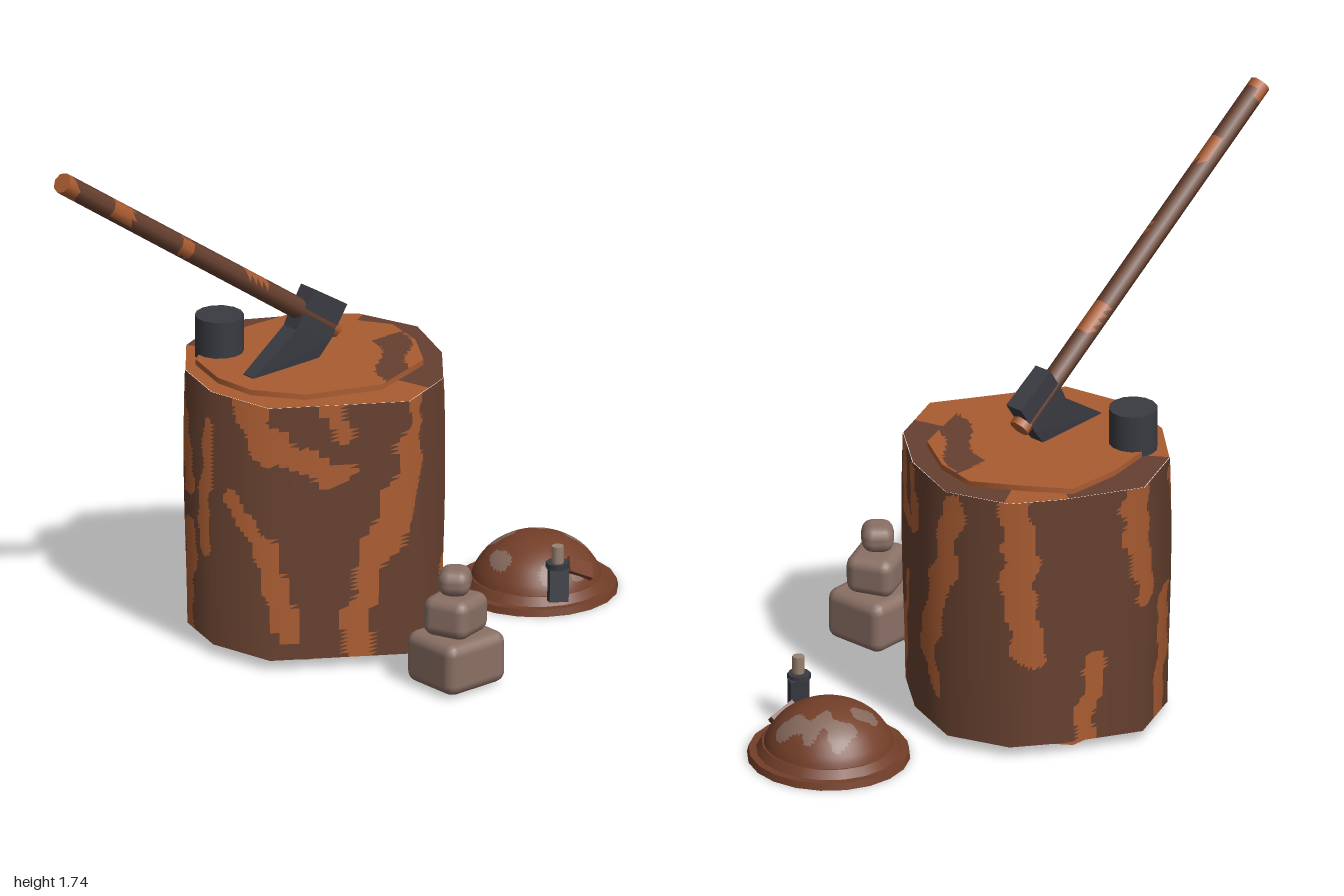
import * as THREE from 'three';
import { RoundedBoxGeometry } from 'three/addons/geometries/RoundedBoxGeometry.js';

const mat = (name, color) => Object.assign(new THREE.MeshStandardMaterial({ color }), { name });

// Split a geometry's faces into two material groups by a rule on their centres
function paint(geo, isSecond) {
  const p = geo.attributes.position, idx = geo.index.array, lists = [[], []];
  for (let i = 0; i < idx.length; i += 3) {
    const c = new THREE.Vector3();
    for (let k = 0; k < 3; k++) c.add(new THREE.Vector3().fromBufferAttribute(p, idx[i + k]));
    c.divideScalar(3);
    lists[isSecond(c.x, c.y, c.z) ? 1 : 0].push(idx[i], idx[i + 1], idx[i + 2]);
  }
  geo.setIndex([...lists[0], ...lists[1]]);
  geo.clearGroups();
  geo.addGroup(0, lists[0].length, 0);
  geo.addGroup(lists[0].length, lists[1].length, 1);
  return geo;
}

// Stump outlines as x, z pairs, running from the front round by the left
const CX = 0.05, CZ = -0.17;
const barkOutline = [[0.04, 0.275], [0.245, 0.2], [0.38, 0.04], [0.465, -0.17], [0.4, -0.37], [0.27, -0.47],
  [0.04, -0.6], [-0.165, -0.52], [-0.3, -0.37], [-0.36, -0.18], [-0.32, 0.04]];
const cutOutline = [[0.04, 0.15], [0.27, 0.08], [0.36, -0.06], [0.39, -0.2], [0.3, -0.35], [0.22, -0.47],
  [0.04, -0.48], [-0.15, -0.45], [-0.25, -0.38], [-0.3, -0.22], [-0.29, -0.08], [-0.19, 0.06]];

// Move the vertices of a unit round shape so that its circle follows an outline
function fitOutline(geo, pts, bulge = () => 1) {
  const p = geo.attributes.position, n = pts.length;
  for (let i = 0; i < p.count; i++) {
    const x = p.getX(i), y = p.getY(i), z = p.getZ(i);
    const u = (Math.atan2(x, z) / (2 * Math.PI) + 1) % 1 * n;
    const a = pts[Math.floor(u) % n], b = pts[(Math.floor(u) + 1) % n], t = u - Math.floor(u);
    const f = Math.hypot(x, z) * bulge(y);
    p.setXYZ(i, CX + (a[0] + (b[0] - a[0]) * t - CX) * f, y, CZ + (a[1] + (b[1] - a[1]) * t - CZ) * f);
  }
  return geo;
}

const angleAt = (x, z) => {
  const a = THREE.MathUtils.radToDeg(Math.atan2(x - CX, z - CZ));
  return a < -90 ? a + 360 : a;
};

// Bare wood streaks on the bark: angle, height, angle, height, half width
const streaks = [
  [3, .86, 2, .7, .035], [2, .7, -5, .5, .05], [-5, .5, -14, .38, .05], [-14, .38, -22, .18, .04], [-22, .18, -20, .04, .05],
  [-72, .86, -60, .72, .055], [-60, .72, -30, .64, .04], [-62, .42, -55, .12, .04], [-80, .52, -62, .4, .03],
  [-33, .86, -28, .78, .03], [34, .86, 38, .66, .045], [38, .66, 58, .66, .035], [55, .82, 60, .68, .03],
  [32, .25, 26, .05, .05], [48, .46, 33, .25, .025], [92, .8, 88, .6, .045], [88, .6, 72, .28, .055],
  [72, .28, 80, .18, .035], [122, .86, 127, .35, .055], [160, .3, 155, .05, .035], [178, .86, 183, .5, .045],
  [204, .42, 200, .05, .045], [215, .8, 222, .55, .04], [247, .35, 240, .05, .045], [236, .86, 246, .5, .035],
  [268, .75, 260, .35, .04]];
function bareWood(x, y, z) {
  const px = angleAt(x, z) * 0.0075;
  const wobble = 0.011 * Math.sin(px * 38 + y * 21) + 0.009 * Math.sin(y * 53 - px * 27);
  return streaks.some(([a, y1, b, y2, w]) => {
    const ax = a * 0.0075, dx = b * 0.0075 - ax, dy = y2 - y1;
    const t = THREE.MathUtils.clamp(((px - ax) * dx + (y - y1) * dy) / (dx * dx + dy * dy), 0, 1);
    return Math.hypot(px - ax - dx * t, y - y1 - dy * t) < w + wobble;
  });
}

export function createModel() {
  const root = new THREE.Group();
  const bark = mat('bark brown', 0x66402f), wood = mat('bare wood orange', 0xaa5c32);
  const iron = mat('dark iron', 0x3a3b42), stone = mat('stone', 0x8a7065);
  const leather = mat('helmet brown', 0x743f29), worn = mat('worn grey', 0x86695d);
  const wax = mat('candle wax', 0x9a8270);
  const add = (name, geo, material, x = 0, y = 0, z = 0, parent = root) => {
    const m = new THREE.Mesh(geo, material);
    m.name = name;
    m.position.set(x, y, z);
    parent.add(m);
    return m;
  };

  // Stump wall, with radial normals so the sides stay soft
  const wall = new THREE.CylinderGeometry(1, 1, 0.83, 154, 64, true).translate(0, 0.45, 0);
  fitOutline(wall, barkOutline, y => 1 + 0.015 * Math.sin((y - 0.3) * 5));
  add('stumpBark', paint(wall, bareWood), [bark, wood]);

  // Rims and cut faces at both ends of the stump
  const disc = (inner, up) => new THREE.RingGeometry(inner, 1, 132, 24).rotateX(up ? -Math.PI / 2 : Math.PI / 2);
  const rimIsWood = (x, y, z) => {
    const a = angleAt(x, z);
    return !((a > 15 && a < 118) || (a > 148 && a < 212));
  };
  const rimTop = fitOutline(disc(0.5, true).translate(0, 0.865, 0), barkOutline);
  add('stumpTopRim', paint(rimTop, rimIsWood), [bark, wood]);
  const rimBottom = fitOutline(disc(0.5, false).translate(0, 0.035, 0), barkOutline);
  add('stumpBottomRim', paint(rimBottom, (x, y, z) => !rimIsWood(x, y, z) || z > -0.1), [bark, wood]);
  const cutTop = fitOutline(disc(0, true).translate(0, 0.883, 0), cutOutline);
  add('stumpCutFace', paint(cutTop, (x, y, z) =>
    Math.abs(x - 0.26 + (z + 0.05) * 0.8 + 0.02 * Math.sin(z * 30)) > 0.06 || z < -0.14), [bark, wood]);
  const edge = open => new THREE.CylinderGeometry(1, 1, 0.018, 120, 1, open);
  add('stumpCutEdge', fitOutline(edge(true).translate(0, 0.874, 0), cutOutline), wood);
  add('stumpBase', fitOutline(edge(false).translate(0, 0.022, 0), cutOutline), wood);

  // Iron peg on the stump
  add('ironPeg', new THREE.CylinderGeometry(0.075, 0.075, 0.14, 14), iron, -0.145, 0.93, -0.39);

  // Axe stuck in the stump
  const axe = new THREE.Group();
  axe.name = 'axe';
  root.add(axe);
  const haft = paint(new THREE.CylinderGeometry(0.033, 0.033, 1.344, 8, 48), (x, y, z) =>
    y > 0.62 + 0.6 * x || y < -0.64 || (Math.abs(y - 0.4) < 0.05 && x + z > 0) || (Math.abs(y - 0.08) < 0.03 && z > 0.01) ||
    (Math.abs(y + 0.25) < 0.06 && x > 0.01));
  add('axeHandle', haft, [bark, wood], -0.4275, 1.335, -0.165, axe).rotation.z = 0.965;
  const headShape = new THREE.Shape([[0.015, 1.117], [-0.04, 1.03], [-0.055, 1.0], [-0.225, 0.886], [-0.225, 0.875],
    [0.035, 0.875], [0.085, 0.935], [0.15, 1.032]].map(p => new THREE.Vector2(...p)));
  const headGeo = new THREE.ExtrudeGeometry(headShape, { depth: 0.06, bevelEnabled: false }).translate(0, 0, -0.03);
  const hp = headGeo.attributes.position;
  for (let i = 0; i < hp.count; i++) if (hp.getY(i) < 0.9) hp.setZ(i, hp.getZ(i) * 0.75);
  headGeo.computeVertexNormals();
  add('axeHead', headGeo, iron, 0, 0, -0.165, axe);

  // Stack of three stones: width, height, depth, bevel, x, y, z, turn
  [[0.235, 0.165, 0.22, 0.035, 0.045, 0.093, 0.487, 0], [0.17, 0.125, 0.155, 0.035, 0.04, 0.235, 0.49, 0.35],
    [0.112, 0.085, 0.1, 0.036, 0.038, 0.343, 0.49, 0.75]].forEach(([w, h, d, r, x, y, z, turn], i) => {
    const s = add('stone' + (i + 1), new RoundedBoxGeometry(w, h, d, 2, r), stone, x, y, z);
    s.rotation.y = turn;
    s.rotation.z = i === 1 ? -0.06 : 0;
  });

  // Helmet: brim, rolled band and worn dome
  const helmet = new THREE.Group();
  helmet.name = 'helmet';
  helmet.position.set(0.75, 0, 0.055);
  root.add(helmet);
  add('helmetBrim', new THREE.CylinderGeometry(0.245, 0.25, 0.022, 20), leather, 0, 0.014, 0, helmet);
  add('helmetBand', new THREE.CylinderGeometry(0.205, 0.222, 0.026, 20), leather, 0, 0.038, 0, helmet);
  const profile = new THREE.SplineCurve([[0.2, 0.045], [0.185, 0.08], [0.15, 0.125], [0.1, 0.158], [0.05, 0.175], [0, 0.179]]
    .map(p => new THREE.Vector2(...p))).getPoints(28);
  const spots = [[0.1, -0.04, 0.055, 0.03], [0.13, 0.03, 0.035, 0.05], [0.07, -0.11, 0.045, 0.04], [-0.14, 0.0, 0.025, 0.05],
    [-0.05, -0.1, 0.035, 0.035], [-0.08, 0.14, 0.035, 0.02], [0.02, 0.17, 0.03, 0.018]];
  add('helmetDome', paint(new THREE.LatheGeometry(profile, 80), (x, y, z) => spots.some(([sx, sz, a, b]) =>
    Math.hypot((x - sx) / a, (z - sz) / b) < 1 + 0.2 * Math.sin(x * 70 + z * 45))), [leather, worn], 0, 0, 0, helmet);
  add('helmetPatch', new THREE.BoxGeometry(0.085, 0.055, 0.02), leather, 0.03, 0.105, 0.163, helmet)
    .rotation.set(-0.75, 0.15, -0.5);

  // Candle holder on the helmet's front
  const holder = new THREE.Group();
  holder.name = 'candleHolder';
  holder.position.set(0.65, 0, 0.265);
  root.add(holder);
  add('holderBracket', new THREE.BoxGeometry(0.06, 0.12, 0.03), iron, 0.008, 0.105, -0.005, holder).rotation.set(-0.15, -0.45, -0.12);
  add('holderPlate', new THREE.CylinderGeometry(0.036, 0.036, 0.018, 8), iron, 0, 0.166, 0, holder);
  add('candle', new THREE.CylinderGeometry(0.019, 0.019, 0.06, 8), wax, -0.003, 0.2, 0.005, holder);

  return root;
}
